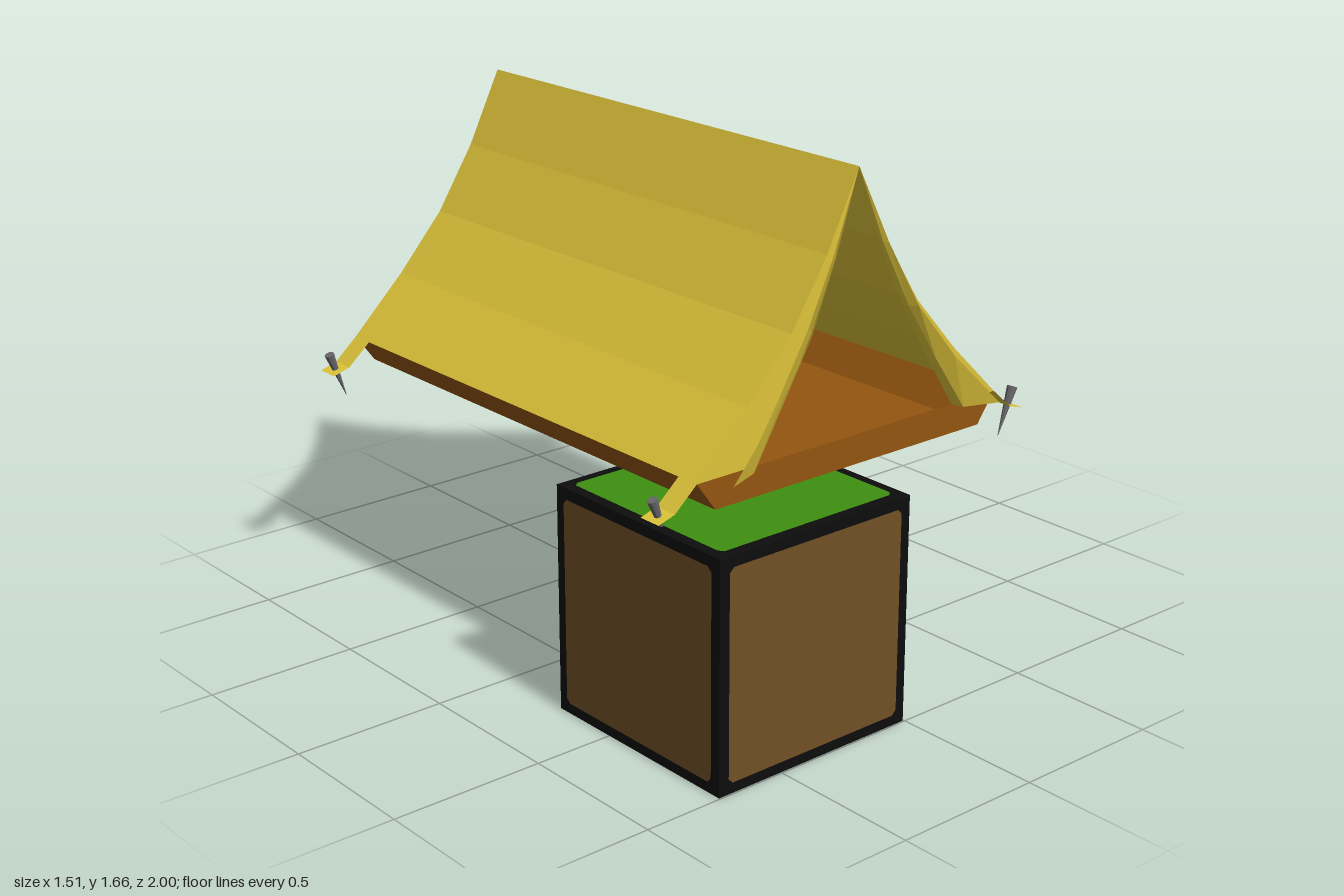
import * as THREE from 'three';

const mat = (name, color, extra = {}) => {
  const m = new THREE.MeshStandardMaterial({ color, flatShading: true, ...extra });
  m.name = name;
  return m;
};

// Sheet through rows of points; every row has the same number of points
function sheet(rows) {
  const n = rows[0].length, index = [];
  for (let i = 0; i < rows.length - 1; i++) {
    for (let j = 0; j < n - 1; j++) {
      const a = i * n + j, b = a + n;
      index.push(a, b, a + 1, b, b + 1, a + 1);
    }
  }
  const g = new THREE.BufferGeometry();
  g.setAttribute('position', new THREE.Float32BufferAttribute(rows.flat(2), 3));
  g.setIndex(index);
  g.computeVertexNormals();
  return g;
}

export function createModel() {
  const model = new THREE.Group();
  model.name = 'tentOnBlock';
  const canvas = mat('yellowCanvas', 0xdec43a, { side: THREE.DoubleSide });
  const groundsheet = mat('brownGroundsheet', 0x93550f, { side: THREE.DoubleSide });
  const soil = mat('soilBrown', 0x705025);
  const grass = mat('grassGreen', 0x3f8f10);
  const outline = mat('blackOutline', 0x0d0d0d);
  const metal = mat('pegMetal', 0x68686c);

  const add = (parent, name, geometry, material) => {
    const m = new THREE.Mesh(geometry, material);
    m.name = name;
    parent.add(m);
    return m;
  };

  // Block: black cube with an inset coloured panel on each face
  const S = 0.731, block = new THREE.Group();
  block.name = 'block';
  block.position.set(-0.373, S / 2 + 0.002, 0.633);
  model.add(block);
  add(block, 'blockFrame', new THREE.BoxGeometry(S, S, S), outline);
  const h = S / 2 - 0.034, c = h - 0.015;
  const panel = new THREE.ShapeGeometry(new THREE.Shape(
    [[-c, -h], [c, -h], [h, -c], [h, c], [c, h], [-c, h], [-h, c], [-h, -c]]
      .map(([x, y]) => new THREE.Vector2(x, y))));
  const faces = {
    front: [0, 0, 1], back: [0, 0, -1], left: [1, 0, 0],
    right: [-1, 0, 0], top: [0, 1, 0], bottom: [0, -1, 0],
  };
  for (const [side, dir] of Object.entries(faces)) {
    const normal = new THREE.Vector3(...dir);
    const p = add(block, side + 'Panel', panel, side === 'top' ? grass : soil);
    p.quaternion.setFromUnitVectors(new THREE.Vector3(0, 0, 1), normal);
    if (side === 'back') p.rotation.set(0, Math.PI, 0);
    p.position.copy(normal).multiplyScalar(S / 2 + 0.002);
  }

  const tent = new THREE.Group();
  tent.name = 'tent';
  model.add(tent);
  const Z0 = -1, Z1 = 0.75;

  // Half profile of the roof, ridge to eave
  const half = [[0, 1.665], [0.12, 1.425], [0.255, 1.215], [0.42, 1.03], [0.61, 0.845]];
  const profile = [...half.slice(1).reverse().map(([x, y]) => [-x, y]), ...half];
  add(tent, 'roof', sheet([Z1, Z0].map(z => profile.map(([x, y]) => [x, y, z]))), canvas);
  add(tent, 'backWall', sheet(half.map(([x, y]) => [[-x, y, Z0], [x, y, Z0]])), canvas);

  // Open tray of the groundsheet
  const ring = (x, y) => [[-x, y, Z1], [x, y, Z1], [x, y, Z0], [-x, y, Z0], [-x, y, Z1]];
  add(tent, 'groundsheetSides', sheet([ring(0.61, 0.845), ring(0.54, 0.75)]), groundsheet);
  add(tent, 'groundsheetFloor', sheet([
    [[-0.54, 0.75, Z1], [0.54, 0.75, Z1]],
    [[-0.54, 0.75, Z0], [0.54, 0.75, Z0]]]), groundsheet);

  // Door flaps: flat strip along the roof edge, then folded outwards
  const foldX = [0, 0.09, 0.19, 0.3, 0.42];
  const tipX = [0, 0.105, 0.215, 0.36, 0.545];
  // Peg leaning inwards at its tip
  const pegTop = new THREE.Vector3(0.74, 0.82, 0), pegTip = new THREE.Vector3(0.682, 0.668, 0);
  const pegDir = pegTop.clone().sub(pegTip);
  const pegGeo = new THREE.CylinderGeometry(0.017, 0.001, pegDir.length(), 8);
  const lean = Math.atan2(pegDir.x, pegDir.y);

  for (const s of [1, -1]) {
    const side = s > 0 ? 'left' : 'right';
    add(tent, side + 'DoorFlap', sheet(half.map(([x, y], i) => {
      const t = (1.665 - y) / 0.82;
      return [
        [s * x, y, Z1],
        [s * foldX[i], y, Z1],
        [s * (foldX[i] + 0.01 * t), y, Z1 + 0.04 * t],
        [s * tipX[i], y, Z1 + 0.083 * t],
      ];
    })), canvas);

    // Corner straps and pegs
    for (const [end, za, zb] of [['Front', 0.67, Z1], ['Back', Z0, -0.92]]) {
      add(tent, side + end + 'Strap', sheet([[0.61, 0.845], [0.69, 0.775], [0.75, 0.757]]
        .map(([x, y]) => [[s * x, y, za], [s * x, y, zb]])), canvas);
      const peg = add(tent, side + end + 'Peg', pegGeo, metal);
      peg.position.set(s * (pegTop.x + pegTip.x) / 2, (pegTop.y + pegTip.y) / 2, (za + zb) / 2);
      peg.rotation.z = -s * lean;
    }
  }
  return model;
}
